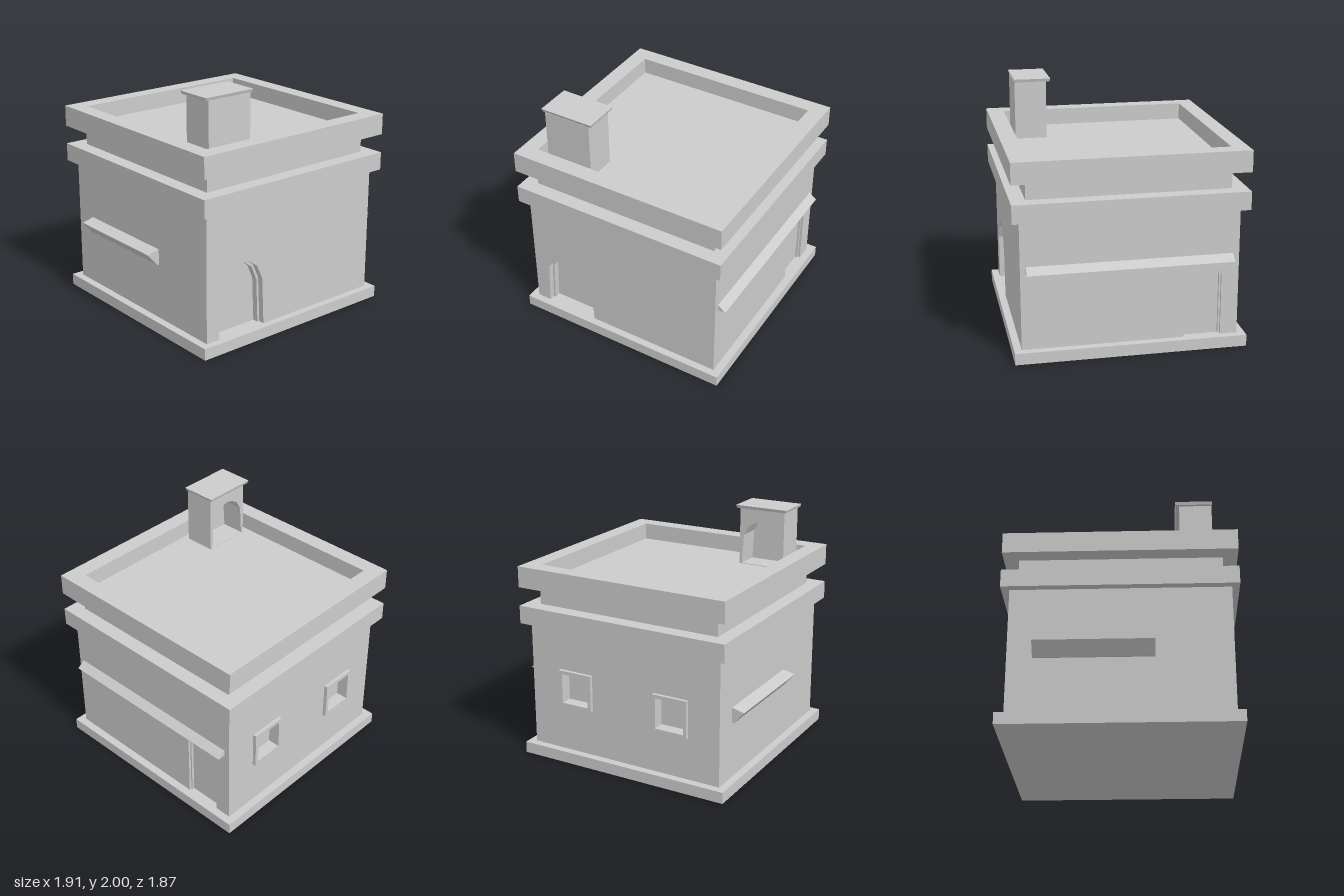
import * as THREE from 'three';

const mat = new THREE.MeshStandardMaterial({ color: 0xcccccc, flatShading: true });

export function createModel() {
  const model = new THREE.Group();

  const add = (name, geo) => {
    const mesh = new THREE.Mesh(geo, mat);
    mesh.name = name;
    model.add(mesh);
    return mesh;
  };

  // Box given by its limits on each axis; the bottom can be drawn in by an inset
  const block = (name, x0, x1, y0, y1, z0, z1, inset = 0) => {
    const w = x1 - x0, h = y1 - y0, d = z1 - z0;
    const geo = new THREE.BoxGeometry(w, h, d);
    const p = geo.attributes.position;
    for (let i = 0; i < p.count; i++) {
      if (p.getY(i) < 0) {
        p.setX(i, p.getX(i) * (1 - 2 * inset / w));
        p.setZ(i, p.getZ(i) * (1 - 2 * inset / d));
      }
    }
    geo.translate((x0 + x1) / 2, (y0 + y1) / 2, (z0 + z1) / 2);
    return add(name, geo);
  };

  const rect = (x0, x1, y0, y1) =>
    [[x0, y0], [x1, y0], [x1, y1], [x0, y1]].map(([x, y]) => new THREE.Vector2(x, y));

  // Symmetric faceted arch: half-outline points as fractions of half width and height
  const arch = (cx, halfW, y0, y1) => {
    const half = [[1, 0], [0.92, 0.66], [0.67, 0.87], [0.34, 0.965]];
    const left = half.map(([u, v]) => [-u, v]).reverse();
    return [...half, [0, 1], ...left]
      .map(([u, v]) => new THREE.Vector2(cx + u * halfW, y0 + v * (y1 - y0)));
  };

  // Flat panel with openings, extruded along z from z0 to z1
  const panelGeo = (outline, holes, z0, z1) => {
    const shape = new THREE.Shape(outline);
    for (const h of holes) shape.holes.push(new THREE.Path(h));
    const geo = new THREE.ExtrudeGeometry(shape, { depth: z1 - z0, bevelEnabled: false });
    return geo.translate(0, 0, z0);
  };
  const panel = (name, outline, holes, z0, z1) => add(name, panelGeo(outline, holes, z0, z1));

  // Plinth and solid core; the core also closes the back of every opening
  block('plinth', -0.92, 0.95, 0, 0.095, -0.935, 0.935);
  block('core', -0.855, 0.845, 0.05, 1.2, -0.80, 0.775);

  // Front wall in two layers, giving the arched doorway a stepped jamb
  const face = rect(-0.855, 0.885, 0.05, 1.2);
  panel('frontWall', face, [arch(-0.505, 0.23, 0.095, 0.69)], 0.825, 0.875);
  panel('frontWallInner', face, [arch(-0.505, 0.21, 0.095, 0.665)], 0.775, 0.825);

  // Side wall with a stepped rectangular doorway (drawn with u = -z, then turned)
  const sideFace = rect(-0.775, 0.80, 0.05, 1.2);
  const side = (name, hole, x0, x1) =>
    add(name, panelGeo(sideFace, [hole], x0, x1).rotateY(Math.PI / 2));
  side('sideWall', rect(0.425, 0.73, 0.095, 0.64), 0.865, 0.885);
  side('sideWallInner', rect(0.437, 0.715, 0.095, 0.615), 0.845, 0.865);

  // Back wall with two deep windows and raised frames
  const windows = [[0.305, 0.61, 0.485, 0.795], [-0.58, -0.27, 0.45, 0.765]];
  const inner = ([x0, x1, y0, y1]) => rect(x0 + 0.03, x1 - 0.03, y0 + 0.03, y1 - 0.03);
  panel('backWall', face, windows.map(inner), -0.87, -0.80);
  for (const w of windows) panel('windowFrame', rect(...w), [inner(w)], -0.90, -0.87);

  // Awnings: triangular prisms along both side walls
  const awning = (name, pts, z0, z1) =>
    panel(name, pts.map(([x, y]) => new THREE.Vector2(x, y)), [], z0, z1);
  awning('leftAwning', [[0.88, 0.73], [0.95, 0.73], [0.88, 0.785]], -0.82, 0.83);
  awning('rightAwning', [[-0.85, 0.692], [-0.96, 0.665], [-0.87, 0.56], [-0.85, 0.56]], -0.67, 0.27);

  // Cornice, recessed neck and roof deck
  block('cornice', -0.92, 0.95, 1.15, 1.30, -0.935, 0.935);
  block('neck', -0.80, 0.83, 1.28, 1.45, -0.81, 0.815);
  block('parapetUnderside', -0.92, 0.95, 1.445, 1.455, -0.935, 0.935, 0.12);
  block('roofDeck', -0.80, 0.825, 1.45, 1.49, -0.81, 0.81);

  // Parapet ring, drawn flat with v = -z and stood upright
  const ring = panelGeo(rect(-0.92, 0.95, -0.935, 0.935), [rect(-0.785, 0.81, -0.795, 0.80)], 1.455, 1.63);
  add('parapet', ring.rotateX(-Math.PI / 2));

  // Stair hut on the roof, with an arched opening to the back
  panel('roofHut', rect(-0.725, -0.32, 1.46, 1.975), [arch(-0.5225, 0.18, 1.495, 1.87)], 0.48, 0.68);
  block('roofHutFront', -0.725, -0.32, 1.46, 1.975, 0.68, 0.745);
  block('roofHutCap', -0.755, -0.295, 1.975, 2.0, 0.445, 0.75, 0.008);

  return model;
}
